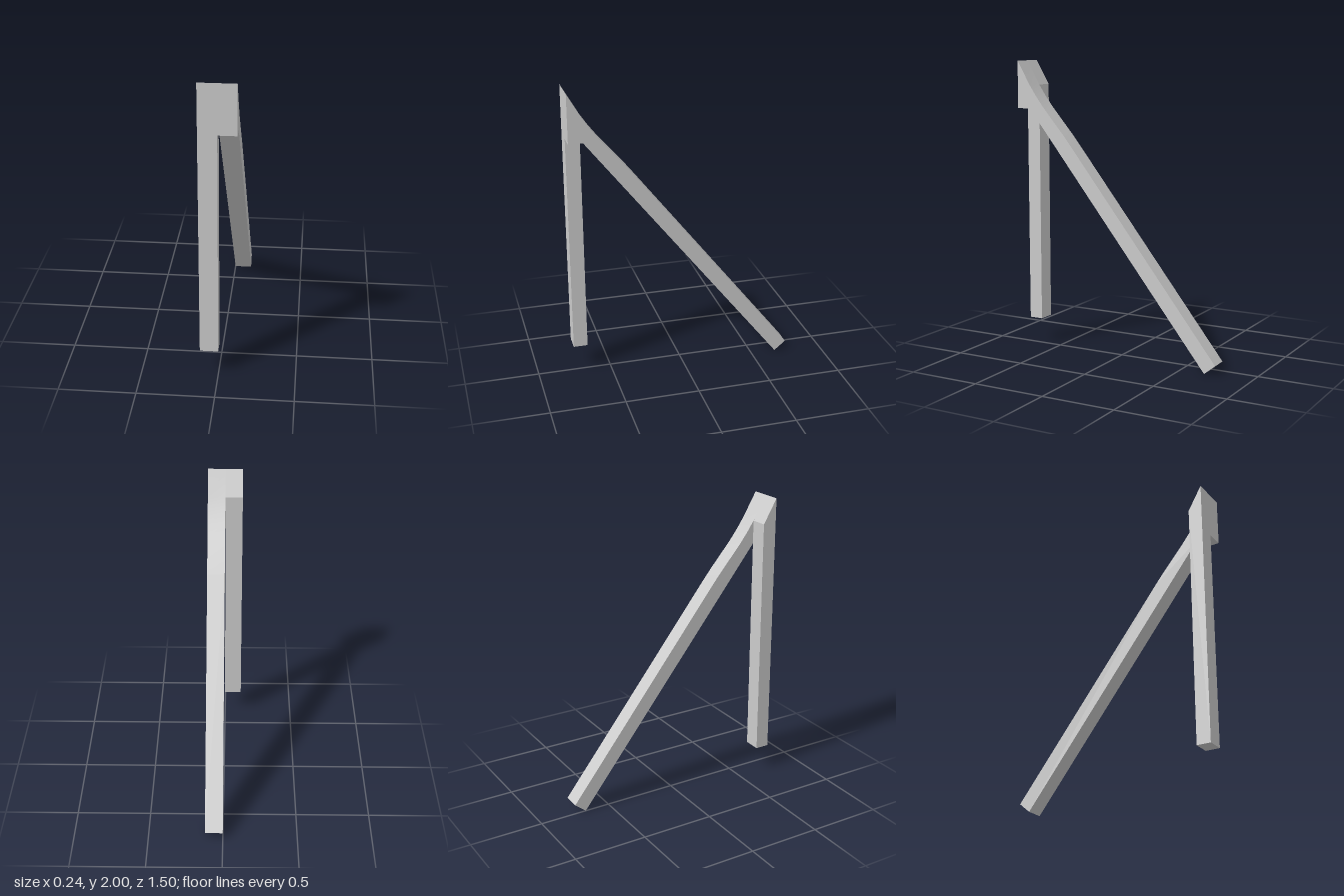
import * as THREE from 'three';
import { toCreasedNormals } from 'three/addons/utils/BufferGeometryUtils.js';

const WIDTH = 0.119;
const grey = new THREE.MeshStandardMaterial({ color: 0xcccccc });

// Extrudes a side profile of [z, y] points across x, starting at xMin
function sideExtrude(name, profile, xMin) {
  const shape = new THREE.Shape(profile.map(([z, y]) => new THREE.Vector2(z, y)));
  const geometry = new THREE.ExtrudeGeometry(shape, { depth: WIDTH, bevelEnabled: false });
  geometry.rotateY(-Math.PI / 2).translate(xMin + WIDTH, 0, 0);
  const mesh = new THREE.Mesh(toCreasedNormals(geometry, 0.3), grey);
  mesh.name = name;
  return mesh;
}

export function createModel() {
  const model = new THREE.Group();
  model.name = 'angledBracket';

  // Vertical post with a sloping top
  model.add(sideExtrude('verticalPost', [
    [0.75, 0.175], [0.75, 2], [0.654, 1.835], [0.654, 0.175],
  ], -WIDTH));

  // Diagonal strut: wedge head easing into a long straight bar
  model.add(sideExtrude('diagonalStrut', [
    [0.75, 1.676], [0.75, 2], [0.655, 1.837], [0.604, 1.762], [0.551, 1.693],
    [0.487, 1.618], [0.392, 1.509], [0.323, 1.424],
    [-0.75, 0.064], [-0.673, 0], [0.654, 1.676],
  ], 0));

  return model;
}
